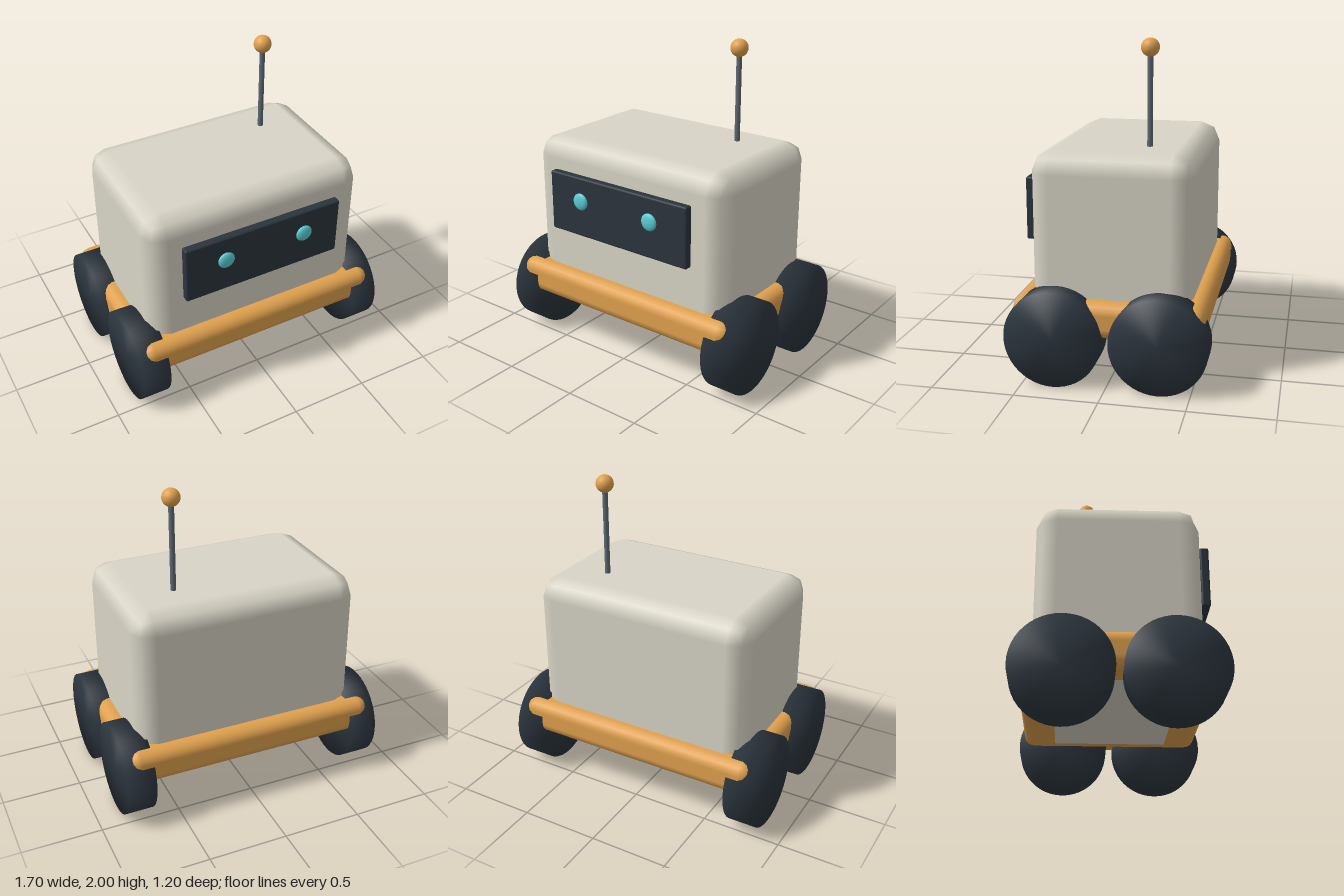
import * as THREE from 'three';
import { RoundedBoxGeometry } from 'three/addons/geometries/RoundedBoxGeometry.js';
import { mergeVertices } from 'three/addons/utils/BufferGeometryUtils.js';

const material = (name, color) => {
  const m = new THREE.MeshStandardMaterial({ color });
  m.name = name;
  return m;
};

// Weld shared corners so that shading runs softly over every edge
function soften(geometry) {
  geometry.deleteAttribute('uv');
  geometry.deleteAttribute('normal');
  const welded = mergeVertices(geometry, 1e-4);
  welded.computeVertexNormals();
  return welded;
}

export function createModel() {
  const cream = material('cream shell', 0xd8d4c6);
  const orange = material('orange trim', 0xe0a14e);
  const dark = material('dark rubber', 0x2b343d);
  const teal = material('teal glow', 0x5accd4);
  const steel = material('grey metal', 0x5c6973);

  const model = new THREE.Group();
  model.name = 'roverRobot';
  const add = (name, geometry, mat, x, y, z) => {
    const mesh = new THREE.Mesh(geometry, mat);
    mesh.name = name;
    mesh.position.set(x, y, z);
    model.add(mesh);
    return mesh;
  };

  // Body shell, its underside just proud of the chassis
  add('body', new RoundedBoxGeometry(1.45, 1.073, 0.962, 1, 0.125), cream, 0, 0.8285, 0);

  // Chassis tray
  add('chassis', new RoundedBoxGeometry(1.63, 0.22, 1.14, 2, 0.07), orange, 0, 0.405, 0);

  // Face screen and flattened eyes
  add('screen', new RoundedBoxGeometry(1.05, 0.385, 0.054, 2, 0.012), dark, 0, 0.988, 0.521);
  const eye = new THREE.SphereGeometry(0.054, 24, 16);
  for (const side of [-1, 1]) {
    add(side > 0 ? 'leftEye' : 'rightEye', eye, teal, side * 0.267, 1.034, 0.563).scale.z = 0.38;
  }

  // Four wheels
  const wheel = soften(new THREE.CylinderGeometry(0.29, 0.29, 0.18, 48).rotateZ(Math.PI / 2));
  for (const x of [-1, 1]) {
    for (const z of [-1, 1]) {
      const name = (z > 0 ? 'front' : 'back') + (x > 0 ? 'Left' : 'Right') + 'Wheel';
      add(name, wheel, dark, x * 0.76, 0.292, z * 0.312);
    }
  }

  // Antenna with ball tip
  add('antennaRod', new THREE.CylinderGeometry(0.017, 0.017, 0.6, 16), steel, 0.378, 1.63, -0.178);
  add('antennaBall', new THREE.SphereGeometry(0.055, 24, 16), orange, 0.378, 1.945, -0.178);

  return model;
}
